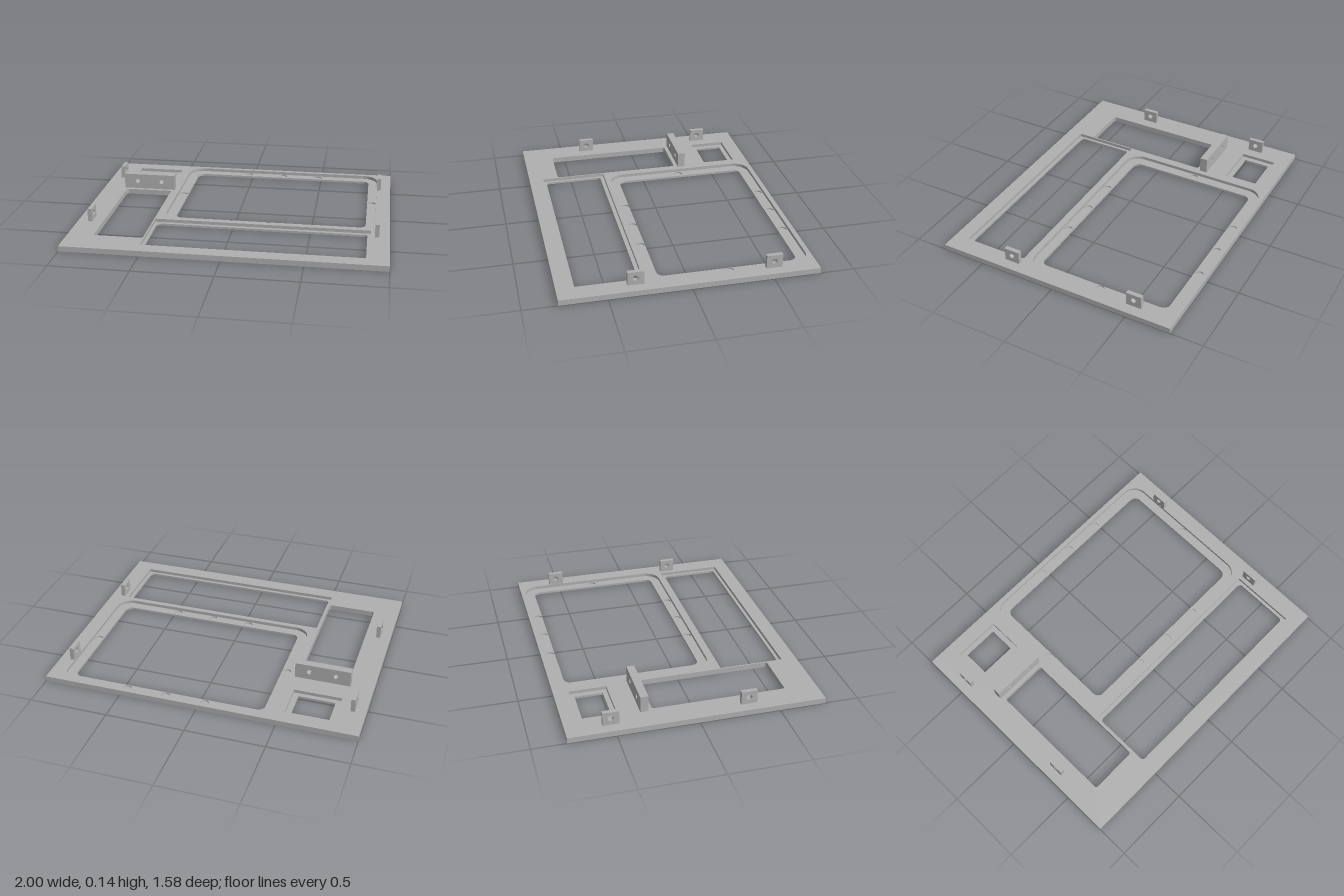
import * as THREE from 'three';

const grey = new THREE.MeshStandardMaterial({ color: 0xb0b0b0 });
grey.name = 'plain grey';

// Rounded rectangle given by its edges
function rect(x0, x1, y0, y1, r = 0, Type = THREE.Path) {
  const p = new Type();
  if (r === 0) {
    p.moveTo(x0, y0); p.lineTo(x1, y0); p.lineTo(x1, y1); p.lineTo(x0, y1);
  } else {
    p.moveTo(x0 + r, y0);
    p.lineTo(x1 - r, y0); p.absarc(x1 - r, y0 + r, r, -Math.PI / 2, 0);
    p.lineTo(x1, y1 - r); p.absarc(x1 - r, y1 - r, r, 0, Math.PI / 2);
    p.lineTo(x0 + r, y1); p.absarc(x0 + r, y1 - r, r, Math.PI / 2, Math.PI);
    p.lineTo(x0, y0 + r); p.absarc(x0 + r, y0 + r, r, Math.PI, Math.PI * 1.5);
  }
  p.closePath();
  return p;
}

function circle(x, y, r) {
  return new THREE.Path().absarc(x, y, r, 0, Math.PI * 2);
}

function extrude(shape, holes, depth) {
  shape.holes.push(...holes);
  return new THREE.ExtrudeGeometry(shape, { depth, bevelEnabled: false, curveSegments: 12 });
}

export function createModel() {
  const model = new THREE.Group();
  model.name = 'panel';

  const add = (geometry, name) => {
    const mesh = new THREE.Mesh(geometry, grey);
    mesh.name = name;
    model.add(mesh);
    return mesh;
  };

  // Openings in plan (x, z), and the wider steps cut around them from above
  const slot = () => rect(-0.835, -0.52, -0.25, 0.59, 0.015);
  const openings = () => [
    slot(),
    rect(-0.4, 0.845, -0.695, 0.175, 0.045),
    rect(-0.495, 0.86, 0.295, 0.675, 0.02),
    rect(-0.8, -0.565, -0.665, -0.49),
  ];
  const steps = () => [
    slot(),
    rect(-0.465, 0.905, -0.76, 0.235, 0.1),
    rect(-0.512, 0.88, 0.27, 0.695),
    rect(-0.835, -0.53, -0.695, -0.46),
  ];

  // Round pockets in the step of the large opening
  const pockets = () => {
    const list = [circle(-0.432, -0.26, 0.028), circle(0.874, -0.26, 0.028)];
    for (const x of [-0.035, 0.22, 0.475])
      for (const z of [-0.727, 0.205]) list.push(circle(x, z, 0.028));
    return list;
  };

  // Staggered rows of blind holes in the underside: first x, z, count, spacing
  const blindHoles = () => {
    const list = [];
    for (const [x, z, n, s] of [
      [-0.55, -0.325, 4, 0.095], [-0.597, -0.395, 4, 0.095],
      [-0.615, 0.71, 3, 0.106], [-0.668, 0.64, 2, 0.106],
    ])
      for (let i = 0; i < n; i++) list.push(circle(x - i * s, z, 0.04));
    return list;
  };

  // Plate, stacked from layers
  const layer = (y0, y1, holes, name) => {
    const g = extrude(rect(-1, 1, -0.79, 0.79, 0, THREE.Shape), holes, y1 - y0);
    g.rotateX(Math.PI / 2);
    g.translate(0, y1, 0);
    add(g, name);
  };
  layer(0, 0.006, [...openings(), ...blindHoles()], 'plateBase');
  layer(0.006, 0.014, [...openings(), ...pockets(), ...blindHoles()], 'platePocketLayer');
  layer(0.014, 0.022, [...steps(), ...blindHoles()], 'plateStepLayer');
  layer(0.022, 0.035, steps(), 'plateTop');

  // Upright bracket with two screw holes
  const bracket = extrude(rect(-0.855, -0.5, 0.035, 0.138, 0, THREE.Shape),
    [circle(-0.763, 0.088, 0.016), circle(-0.592, 0.088, 0.016)], 0.05);
  add(bracket, 'bracket').position.z = -0.325;

  // Four side tabs, each with one hole
  for (const side of [-1, 1])
    for (const z of [-0.52, 0.325]) {
      const g = extrude(rect(-0.05, 0.05, 0.035, 0.12, 0, THREE.Shape),
        [circle(0, 0.079, 0.017)], 0.027);
      g.translate(0, 0, -0.0135);
      g.rotateY(Math.PI / 2);
      add(g, side > 0 ? 'leftTab' : 'rightTab').position.set(side * 0.92, 0, z);
    }

  return model;
}
